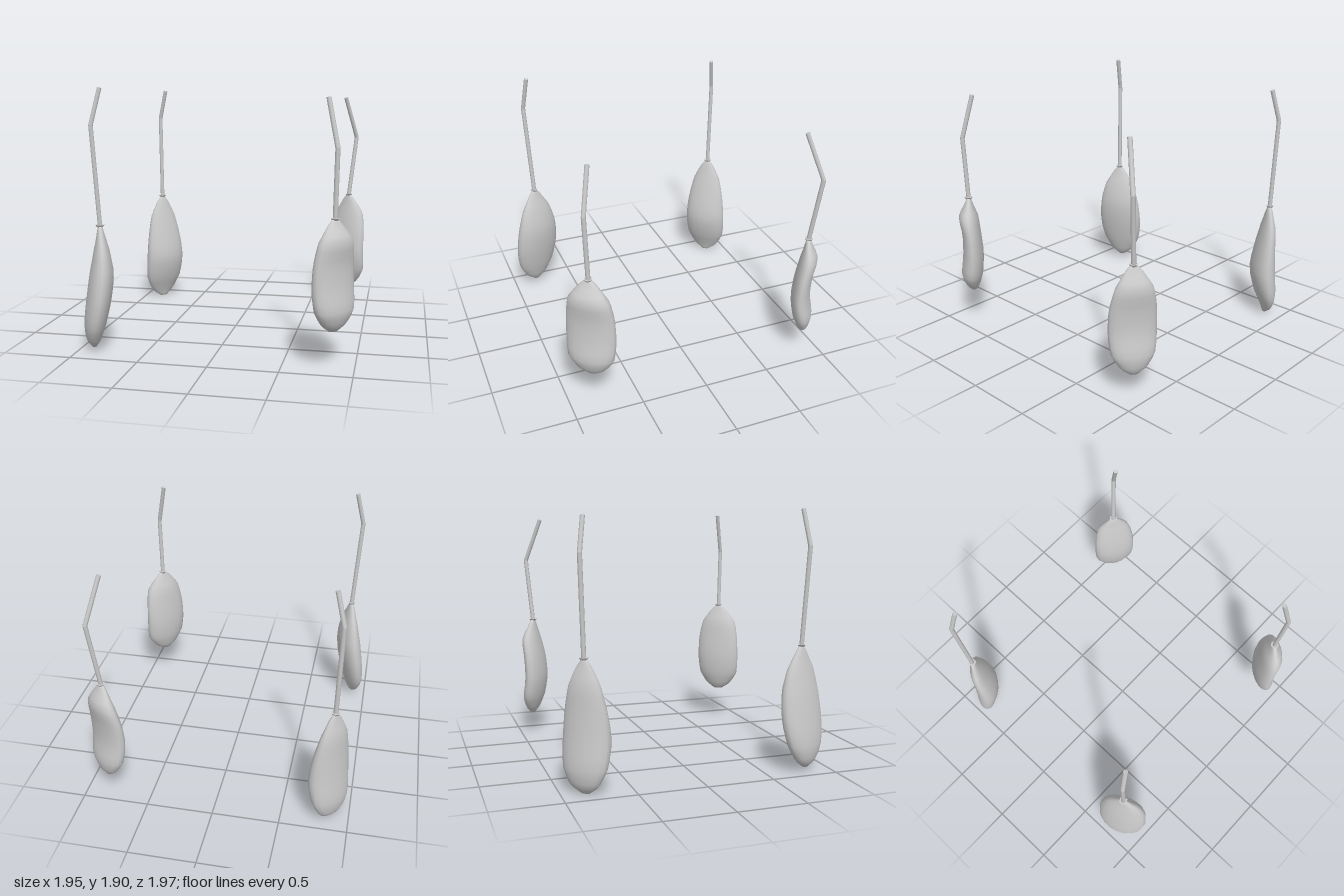
import * as THREE from 'three';

const material = new THREE.MeshStandardMaterial({ color: 0xcccccc, side: THREE.DoubleSide });
const SIDES = 18;
const RINGS = 18;
// Fractions of the pod height, from the tip down, at which the profiles are given
const LEVELS = [0, 0.06, 0.2, 0.4, 0.6, 0.8, 0.94, 1];

// width: half width along the broad side; breadth: its share per level;
// outer / inner: distance of the two flat faces from the tip, along the facing direction
const pods = [
  {
    name: 'frontRightPod', tip: [-0.83, 0.92, 0.785], bottom: 0.03, facing: [-0.92, 0.38], width: 0.195,
    breadth: [0.1, 0.32, 0.7, 0.94, 1, 0.86, 0.5, 0.12],
    outer: [0.015, 0.025, 0.05, 0.085, 0.11, 0.13, 0.115, 0.075],
    inner: [-0.015, -0.03, -0.065, -0.09, -0.07, -0.03, 0.01, 0.045],
    bend: [-0.87, 1.64, 0.815], end: [-0.81, 1.9, 0.785],
  },
  {
    name: 'frontLeftPod', tip: [0.85, 1.03, 0.83], bottom: 0.26, facing: [0.77, 0.64], width: 0.187,
    breadth: [0.14, 0.4, 0.82, 0.97, 1, 0.94, 0.58, 0.2],
    outer: [0.015, 0.035, 0.085, 0.065, 0.07, 0.09, 0.06, 0.02],
    inner: [-0.015, -0.03, -0.065, -0.08, -0.09, -0.08, -0.05, -0.02],
    bend: [0.86, 1.51, 0.845], end: [0.79, 1.84, 0.785],
  },
  {
    name: 'backRightPod', tip: [-0.85, 0.92, -0.83], bottom: 0, facing: [-0.75, -0.66], width: 0.178,
    breadth: [0.1, 0.34, 0.68, 0.9, 1, 0.94, 0.6, 0.18],
    outer: [0.015, 0.025, 0.05, 0.055, 0.065, 0.08, 0.06, 0.015],
    inner: [-0.015, -0.03, -0.06, -0.1, -0.125, -0.085, -0.03, -0.01],
    bend: [-0.865, 1.62, -0.852], end: [-0.805, 1.86, -0.815],
  },
  {
    name: 'backLeftPod', tip: [0.825, 0.97, -0.88], bottom: 0.17, facing: [0.54, -0.84], width: 0.172,
    breadth: [0.14, 0.38, 0.78, 0.97, 1, 0.92, 0.55, 0.18],
    outer: [0.015, 0.035, 0.08, 0.055, 0.05, 0.075, 0.06, 0.03],
    inner: [-0.015, -0.025, -0.05, -0.08, -0.095, -0.075, -0.035, 0],
    bend: [0.88, 1.47, -0.92], end: [0.79, 1.81, -0.81],
  },
];

// Flattened, bent seed body lofted through oval cross-sections
function podGeometry({ tip, bottom, facing, width, breadth, outer, inner }) {
  const n = new THREE.Vector3(facing[0], 0, facing[1]).normalize();
  const a = new THREE.Vector3(n.z, 0, -n.x);
  const base = new THREE.Vector3(...tip);
  const profile = new THREE.CatmullRomCurve3(
    LEVELS.map((_, i) => new THREE.Vector3(breadth[i] * width, outer[i], inner[i])));
  const positions = [];
  const index = [];
  const centres = [];
  for (let i = 0; i <= RINGS; i++) {
    const t = i / RINGS;
    const s = profile.getPoint(t);
    const k = Math.min(Math.floor(t * (LEVELS.length - 1)), LEVELS.length - 2);
    const level = THREE.MathUtils.lerp(LEVELS[k], LEVELS[k + 1], t * (LEVELS.length - 1) - k);
    const centre = base.clone().addScaledVector(n, (s.y + s.z) / 2);
    centre.y = THREE.MathUtils.lerp(tip[1], bottom, level);
    centres.push(centre);
    for (let j = 0; j < SIDES; j++) {
      const angle = (j / SIDES) * Math.PI * 2;
      const p = centre.clone()
        .addScaledVector(a, s.x * Math.cos(angle))
        .addScaledVector(n, (s.y - s.z) / 2 * Math.sin(angle));
      positions.push(p.x, p.y, p.z);
    }
  }
  for (let i = 0; i < RINGS; i++) {
    for (let j = 0; j < SIDES; j++) {
      const p = i * SIDES + j;
      const q = i * SIDES + (j + 1) % SIDES;
      index.push(p, q, p + SIDES, q, q + SIDES, p + SIDES);
    }
  }
  // Close the two ends
  const top = (RINGS + 1) * SIDES;
  const last = RINGS * SIDES;
  positions.push(...centres[0].toArray(), ...centres[RINGS].toArray());
  for (let j = 0; j < SIDES; j++) {
    const next = (j + 1) % SIDES;
    index.push(top, next, j, top + 1, last + j, last + next);
  }
  const geometry = new THREE.BufferGeometry();
  geometry.setAttribute('position', new THREE.Float32BufferAttribute(positions, 3));
  geometry.setIndex(index);
  geometry.computeVertexNormals();
  return geometry;
}

function addMesh(group, name, geometry) {
  const mesh = new THREE.Mesh(geometry, material);
  mesh.name = name;
  group.add(mesh);
  return mesh;
}

// Straight rod between two points
function addRod(group, name, from, to, radius) {
  const direction = to.clone().sub(from);
  const rod = addMesh(group, name, new THREE.CylinderGeometry(radius, radius, direction.length(), 8));
  rod.position.copy(from).add(to).multiplyScalar(0.5);
  rod.quaternion.setFromUnitVectors(new THREE.Vector3(0, 1, 0), direction.normalize());
}

export function createModel() {
  const model = new THREE.Group();
  model.name = 'hangingPods';
  for (const pod of pods) {
    const group = new THREE.Group();
    group.name = pod.name;
    addMesh(group, 'podBody', podGeometry(pod));

    // Small collar where the stem meets the pod
    const tip = new THREE.Vector3(...pod.tip);
    const collar = addMesh(group, 'collar', new THREE.CylinderGeometry(0.032, 0.022, 0.016, 6));
    collar.position.copy(tip);

    // Bent stem
    const bend = new THREE.Vector3(...pod.bend);
    const end = new THREE.Vector3(...pod.end);
    addRod(group, 'lowerStem', tip, bend, 0.017);
    addRod(group, 'upperStem', bend, end, 0.017);
    const joint = addMesh(group, 'stemJoint', new THREE.SphereGeometry(0.017, 8, 6));
    joint.position.copy(bend);
    model.add(group);
  }
  return model;
}
